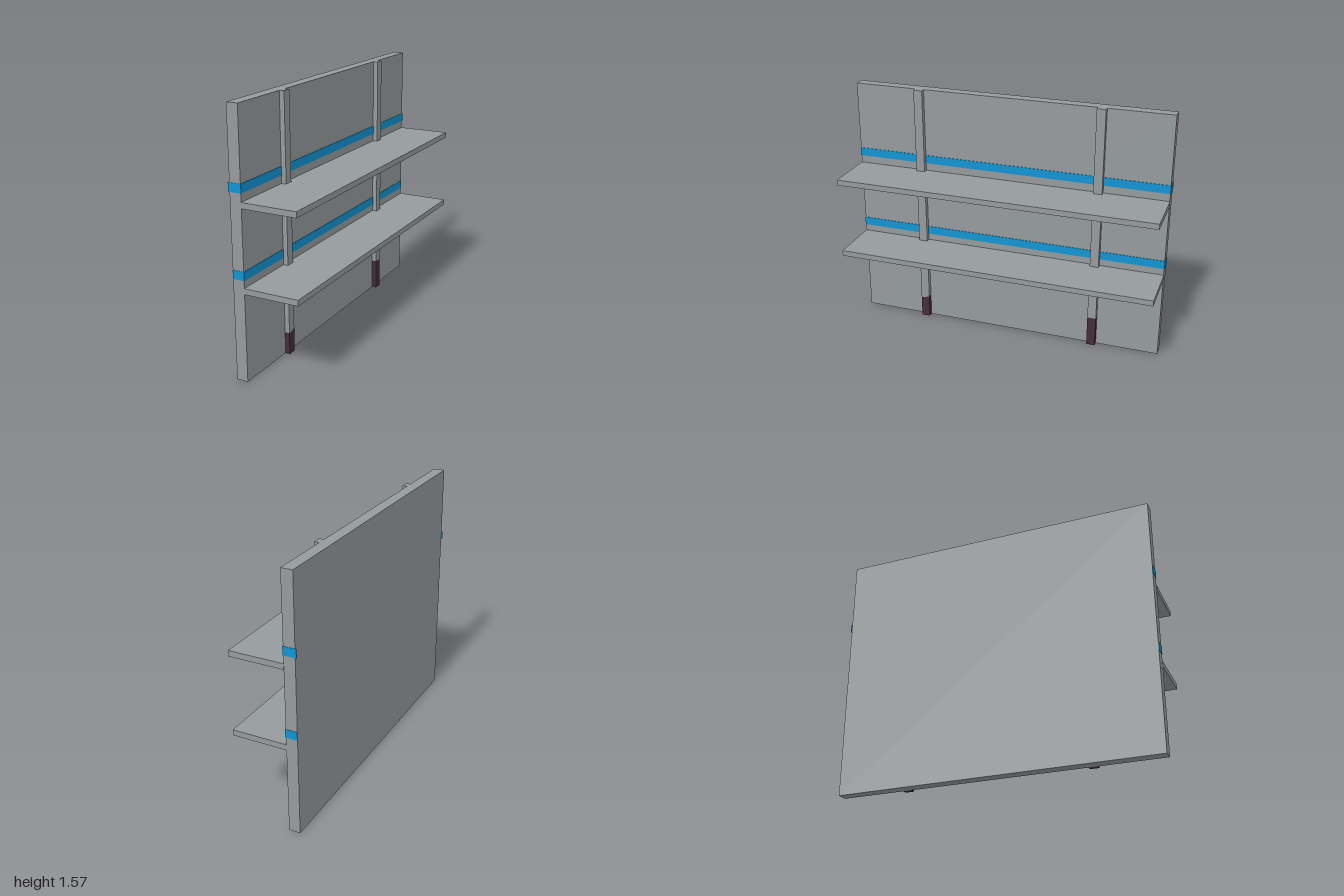
import * as THREE from 'three';

export function createModel() {
  const model = new THREE.Group();
  model.name = 'wallShelf';

  const material = (name, color) => {
    const m = new THREE.MeshStandardMaterial({ color });
    m.name = name;
    return m;
  };
  const grey = material('grey', 0x959a9c);
  const blue = material('blue', 0x1094d3);
  const dark = material('darkBrown', 0x452d37);

  // Box given by its limits on each axis
  const box = (name, mat, [x0, x1], [y0, y1], [z0, z1]) => {
    const geometry = new THREE.BoxGeometry(x1 - x0, y1 - y0, z1 - z0);
    geometry.translate((x0 + x1) / 2, (y0 + y1) / 2, (z0 + z1) / 2);
    const mesh = new THREE.Mesh(geometry, mat);
    mesh.name = name;
    model.add(mesh);
  };

  // Post section with a profile in z and y, extruded along x
  const postX = [-0.13, -0.1];
  const postPart = (name, mat, points) => {
    const shape = new THREE.Shape(points.map(([z, y]) => new THREE.Vector2(-z, y)));
    const geometry = new THREE.ExtrudeGeometry(shape, {
      depth: postX[1] - postX[0], bevelEnabled: false,
    });
    geometry.rotateY(Math.PI / 2);
    geometry.translate(postX[0], 0, 0);
    const mesh = new THREE.Mesh(geometry, mat);
    mesh.name = name;
    model.add(mesh);
  };

  // Back panel
  box('backPanel', grey, [-0.2, -0.13], [0, 1.57], [-0.998, 0.998]);

  // Posts with dark feet; each foot's top edge runs from outer to inner z
  const posts = [
    { name: 'front', outer: 0.6, inner: 0.545, edge: [[0.6, 0.135], [0.58, 0.135], [0.545, 0.15]] },
    { name: 'rear', outer: -0.6, inner: -0.545, edge: [[-0.6, 0.195], [-0.545, 0.195]] },
  ];
  for (const { name, outer, inner, edge } of posts) {
    postPart(`${name}PostFoot`, dark, [[outer, 0], ...edge, [inner, 0]]);
    postPart(`${name}Post`, grey, [[outer, 1.57], ...edge, [inner, 1.57]]);
  }

  // Shelves, each with a stripe above it
  const levels = [
    { name: 'lower', shelf: [0.525, 0.56], stripe: [0.603, 0.655], back: -0.2 },
    { name: 'upper', shelf: [1.01, 1.045], stripe: [1.093, 1.145], back: -0.208 },
  ];
  for (const { name, shelf, stripe, back } of levels) {
    box(`${name}Shelf`, grey, [-0.131, 0.207], shelf, [-1, 1]);
    box(`${name}Stripe`, blue, [-0.13, -0.127], stripe, [-1, 1]);
    for (const [end, z] of [['Front', [0.998, 1]], ['Rear', [-1, -0.998]]]) {
      box(`${name}Stripe${end}End`, blue, [back, -0.13], stripe, z);
    }
  }

  return model;
}
